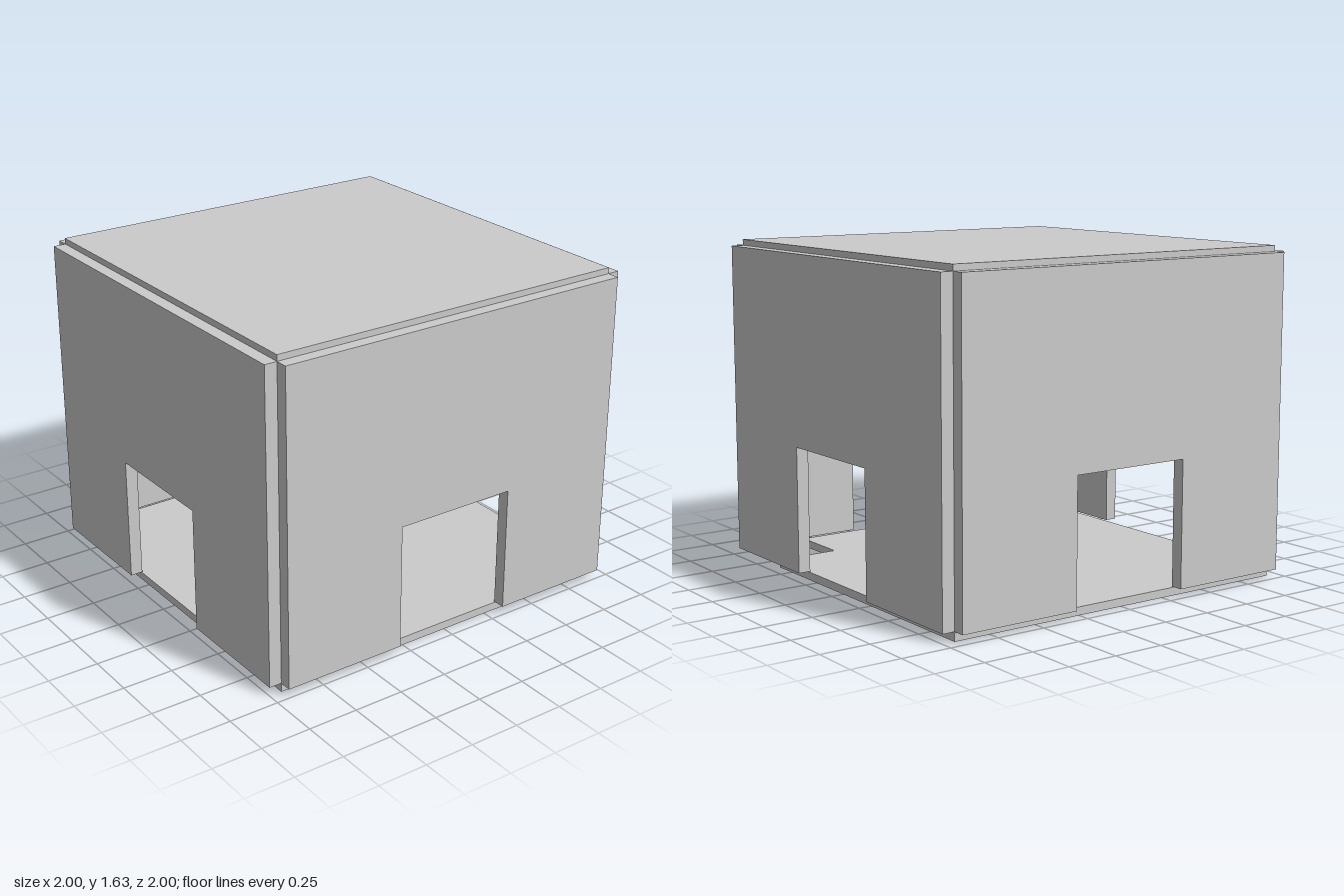
import * as THREE from 'three';

const INNER = 0.9375;      // half width of every panel, and inner face of the walls
const WALL = 0.0625;       // wall thickness
const WALL_BOTTOM = 0.045, WALL_TOP = 1.605;
const DOOR_HALF = 0.3125, DOOR_TOP = 0.67;
const SLAB = 0.04, ROOF_TOP = 1.635;
const NOTCH = 0.62;        // the floor's back corner is cut out from here

const material = new THREE.MeshStandardMaterial({ color: 0xcccccc, flatShading: true });

// Flat panel cut from an outline of [x, y] points, extruded along +z
function panel(name, points, depth) {
  const shape = new THREE.Shape(points.map(([x, y]) => new THREE.Vector2(x, y)));
  const geometry = new THREE.ExtrudeGeometry(shape, { depth, bevelEnabled: false });
  const mesh = new THREE.Mesh(geometry, material);
  mesh.name = name;
  return mesh;
}

export function createModel() {
  const group = new THREE.Group();
  group.name = 'room';

  // Four walls, each with a square doorway open at the bottom
  const wallOutline = [
    [-INNER, WALL_BOTTOM], [-DOOR_HALF, WALL_BOTTOM], [-DOOR_HALF, DOOR_TOP],
    [DOOR_HALF, DOOR_TOP], [DOOR_HALF, WALL_BOTTOM], [INNER, WALL_BOTTOM],
    [INNER, WALL_TOP], [-INNER, WALL_TOP],
  ];
  ['frontWall', 'leftWall', 'backWall', 'rightWall'].forEach((name, i) => {
    const wall = panel(name, wallOutline, WALL);
    wall.geometry.translate(0, 0, INNER);
    wall.rotation.y = i * Math.PI / 2;
    group.add(wall);
  });

  // Floor with the back left corner cut out (outline y becomes -z)
  const floor = panel('floor', [
    [-INNER, -INNER], [INNER, -INNER], [INNER, NOTCH],
    [NOTCH, NOTCH], [NOTCH, INNER], [-INNER, INNER],
  ], SLAB);
  floor.rotation.x = -Math.PI / 2;
  group.add(floor);

  // Roof slab set between the walls, standing slightly proud of them
  const roof = new THREE.Mesh(new THREE.BoxGeometry(2 * INNER, SLAB, 2 * INNER), material);
  roof.name = 'roof';
  roof.position.y = ROOF_TOP - SLAB / 2;
  group.add(roof);

  return group;
}
